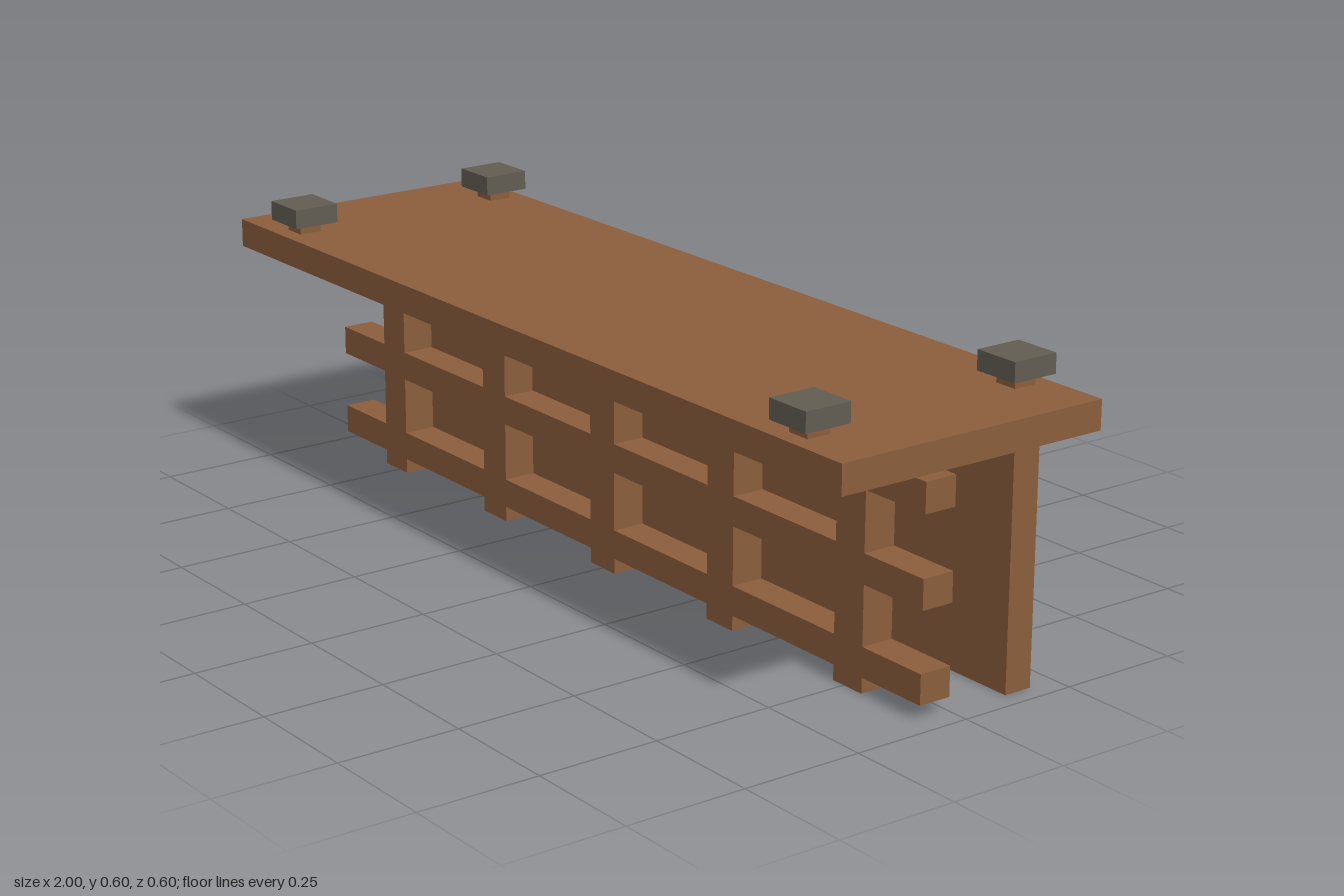
import * as THREE from 'three';

export function createModel() {
  const wood = new THREE.MeshStandardMaterial({ color: 0x8b5e3c });
  wood.name = 'brown wood';
  const stone = new THREE.MeshStandardMaterial({ color: 0x625d52 });
  stone.name = 'grey stone';

  // Box given by its lower and upper limits on each axis
  const box = (parent, name, material, [x0, x1], [y0, y1], [z0, z1]) => {
    const mesh = new THREE.Mesh(new THREE.BoxGeometry(x1 - x0, y1 - y0, z1 - z0), material);
    mesh.position.set((x0 + x1) / 2, (y0 + y1) / 2, (z0 + z1) / 2);
    mesh.name = name;
    parent.add(mesh);
  };

  const model = new THREE.Group();
  model.name = 'counter';

  // Top slab and solid back wall
  box(model, 'topSlab', wood, [-1, 1], [0.482, 0.541], [-0.3, 0.3]);
  box(model, 'backPanel', wood, [-0.96, 0.96], [0, 0.482], [-0.19, -0.13]);

  // Front lattice: full-length rails with flush post pieces between them
  const lattice = new THREE.Group();
  lattice.name = 'frontLattice';
  model.add(lattice);
  const depth = [0.006, 0.075];
  for (const y of [0.031, 0.211, 0.391]) {
    box(lattice, 'rail', wood, [-0.96, 0.96], [y, y + 0.06], depth);
  }
  for (const x of [-0.76, -0.38, 0, 0.38, 0.76]) {
    for (const span of [[0, 0.031], [0.091, 0.211], [0.271, 0.391], [0.451, 0.482]]) {
      box(lattice, 'postPiece', wood, [x - 0.04, x + 0.04], span, depth);
    }
  }

  // Corner pegs with square caps
  for (const x of [-0.84, 0.84]) {
    for (const z of [-0.24, 0.24]) {
      const corner = new THREE.Group();
      corner.name = 'cornerPeg';
      box(corner, 'pegStem', wood, [x - 0.025, x + 0.025], [0.541, 0.562], [z - 0.025, z + 0.025]);
      box(corner, 'pegCap', stone, [x - 0.05, x + 0.05], [0.562, 0.602], [z - 0.05, z + 0.05]);
      model.add(corner);
    }
  }
  return model;
}
